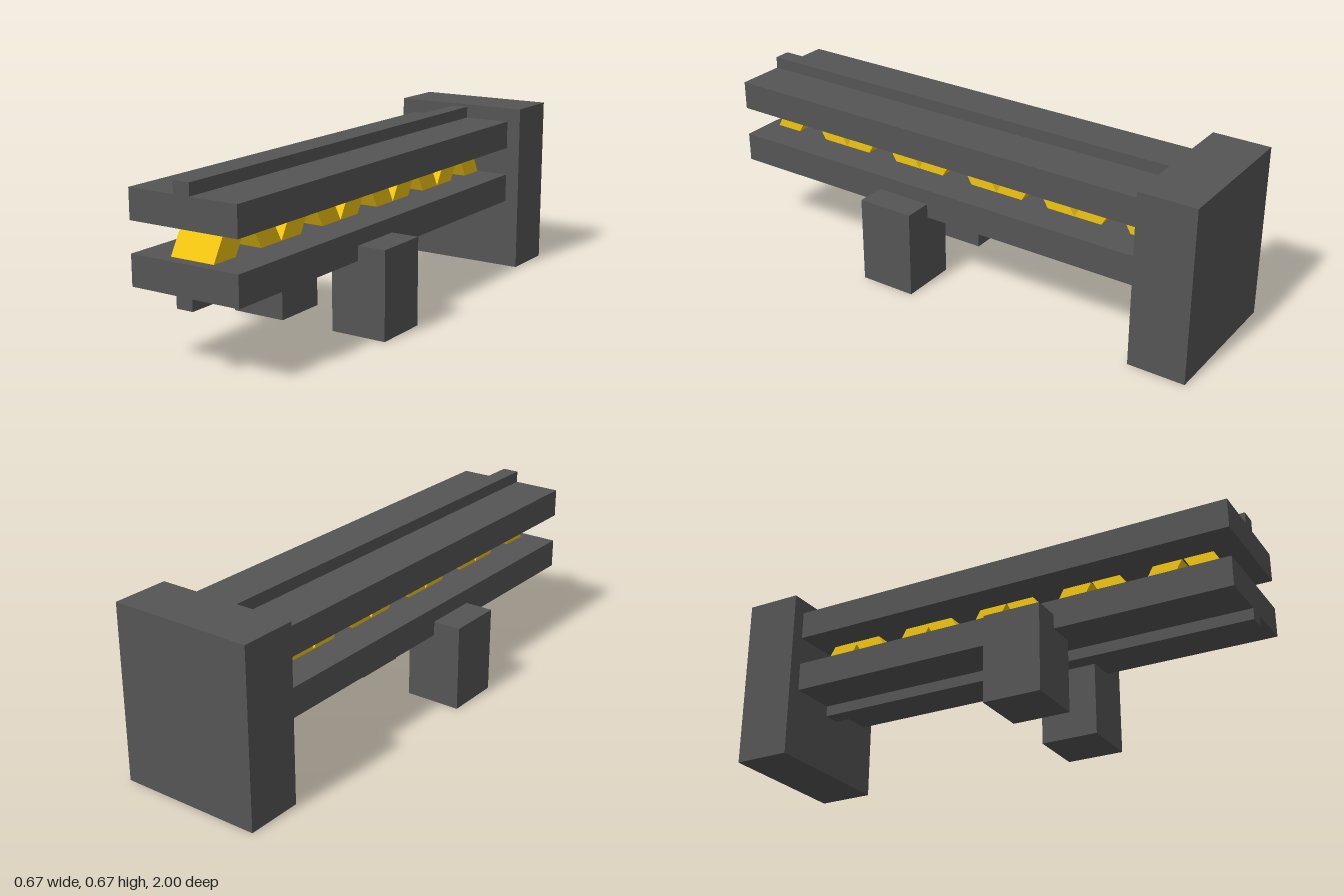
import * as THREE from 'three';

export function createModel() {
  const model = new THREE.Group();
  model.name = 'railBridge';
  const dark = new THREE.MeshStandardMaterial({ color: 0x555555, flatShading: true });
  const yellow = new THREE.MeshStandardMaterial({ color: 0xf2c511, flatShading: true });

  // Box given by its min and max corners
  function box(name, [x0, y0, z0], [x1, y1, z1]) {
    const mesh = new THREE.Mesh(new THREE.BoxGeometry(x1 - x0, y1 - y0, z1 - z0), dark);
    mesh.position.set((x0 + x1) / 2, (y0 + y1) / 2, (z0 + z1) / 2);
    mesh.name = name;
    model.add(mesh);
  }

  const back = -0.78;
  box('endBlock', [-0.278, 0, -1], [0.278, 0.667, back]);

  // Two beams, each with a narrow rail on its outer face
  box('upperBeam', [-0.222, 0.502, back], [0.222, 0.612, 1]);
  box('upperRail', [-0.033, 0.612, back], [0.033, 0.657, 1]);
  box('lowerBeam', [-0.222, 0.278, back], [0.222, 0.39, 1]);
  box('lowerRail', [-0.033, 0.236, back], [0.033, 0.278, 1]);

  // Pair of support legs
  box('leftLeg', [0.111, 0, 0.111], [0.333, 0.333, 0.333]);
  box('rightLeg', [-0.333, 0, 0.111], [-0.111, 0.333, 0.333]);

  // Slanted truss bar: foot at z = foot, leaning in direction dir (+1 or -1)
  const y0 = 0.39, y1 = 0.502, width = 0.111, lean = 0.064, depth = 0.178;
  function trussBar(foot, dir) {
    const shape = new THREE.Shape([
      [foot, y0], [foot + dir * width, y0],
      [foot + dir * (width + lean), y1], [foot + dir * lean, y1],
    ].map(([z, y]) => new THREE.Vector2(z, y)));
    const geometry = new THREE.ExtrudeGeometry(shape, { depth, bevelEnabled: false });
    geometry.translate(0, 0, -depth / 2).rotateY(-Math.PI / 2);
    const mesh = new THREE.Mesh(geometry, yellow);
    mesh.name = 'trussBar';
    truss.add(mesh);
  }

  // Zigzag truss between the beams, one leaning pair per bay
  const truss = new THREE.Group();
  truss.name = 'truss';
  const feet = [0.957, 0.6, 0.246, -0.107, -0.44, -0.778];
  for (let i = 0; i < feet.length - 1; i++) {
    trussBar(feet[i], -1);
    trussBar(feet[i + 1], 1);
  }
  model.add(truss);

  return model;
}
